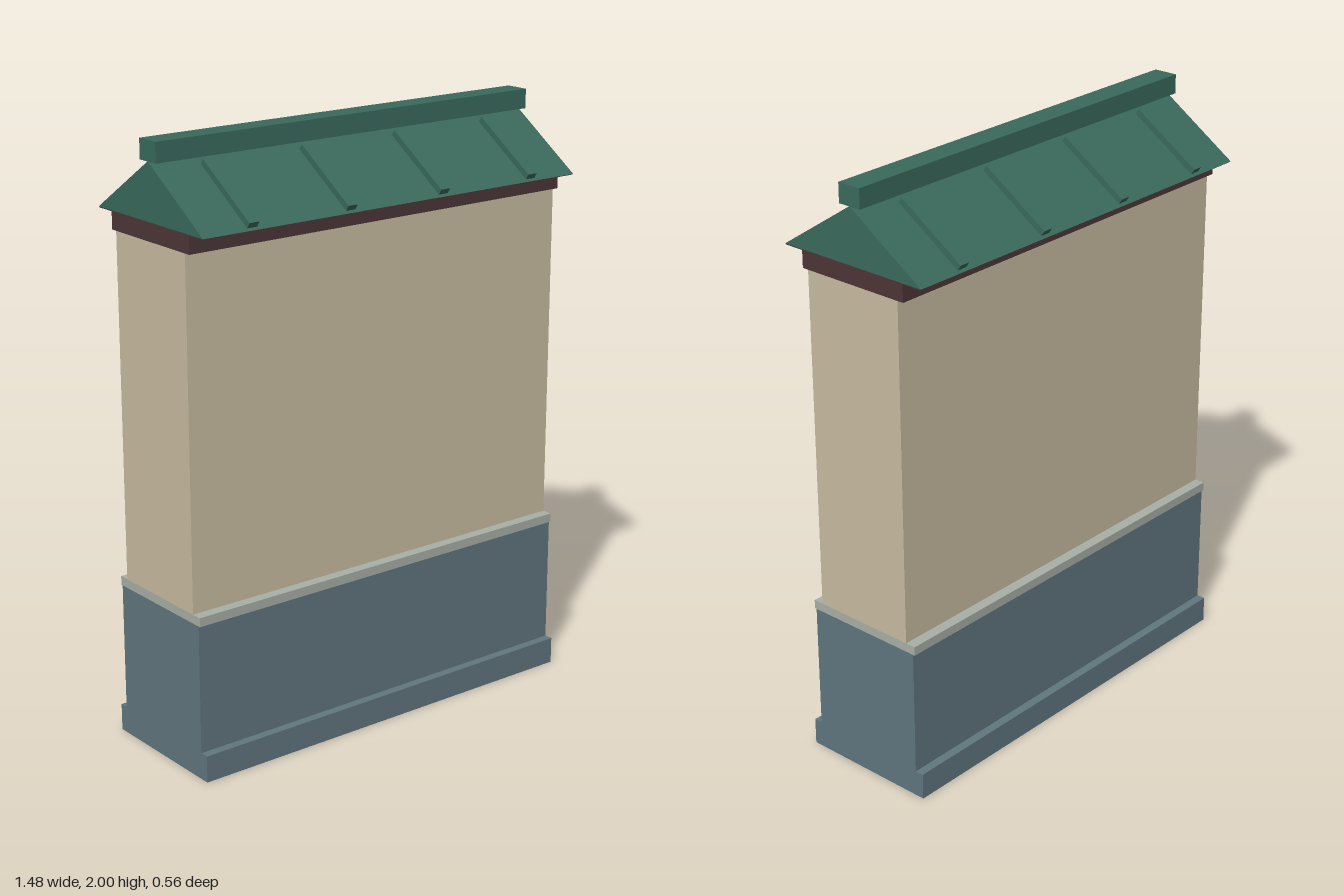
import * as THREE from 'three';

const LENGTH = 1.476;

const makeMaterial = (name, color) => {
  const m = new THREE.MeshStandardMaterial({ color });
  m.name = name;
  return m;
};

export function createModel() {
  const group = new THREE.Group();
  group.name = 'roofedWall';

  const plaster = makeMaterial('cream plaster', 0xc9bda2);
  const stone = makeMaterial('blue grey stone', 0x61767f);
  const trim = makeMaterial('pale stone trim', 0xa8b0a7);
  const wood = makeMaterial('dark red wood', 0x4d3637);
  const tile = makeMaterial('green tile', 0x3a6a5c);

  // Full-length course, given its bottom, top and half depth
  const course = (name, y0, y1, halfDepth, material) => {
    const mesh = new THREE.Mesh(new THREE.BoxGeometry(LENGTH, y1 - y0, halfDepth * 2), material);
    mesh.name = name;
    mesh.position.y = (y0 + y1) / 2;
    group.add(mesh);
  };

  course('plinth', 0, 0.09, 0.243, stone);
  course('lowerWall', 0.09, 0.52, 0.213, stone);
  course('ledge', 0.52, 0.55, 0.22, trim);
  course('upperWall', 0.55, 1.692, 0.184, plaster);
  course('eaveBeam', 1.692, 1.75, 0.206, wood);
  course('soffit', 1.749, 1.752, 0.274, wood);
  course('ridge', 1.935, 2, 0.042, tile);

  // Gabled roof prism
  const eaveZ = 0.278, eaveY = 1.752, apexY = 1.936;
  const gable = new THREE.Shape([
    new THREE.Vector2(-eaveZ, eaveY),
    new THREE.Vector2(eaveZ, eaveY),
    new THREE.Vector2(0, apexY),
  ]);
  const roofGeometry = new THREE.ExtrudeGeometry(gable, { depth: LENGTH, bevelEnabled: false });
  roofGeometry.translate(0, 0, -LENGTH / 2).rotateY(Math.PI / 2);
  const roof = new THREE.Mesh(roofGeometry, tile);
  roof.name = 'roof';
  group.add(roof);

  // Raised ribs running down both slopes
  const slope = Math.atan2(apexY - eaveY, eaveZ);
  const outerZ = 0.268, innerZ = 0.036, thickness = 0.022;
  const midZ = (outerZ + innerZ) / 2;
  const midY = apexY - midZ * Math.tan(slope);
  const ribGeometry = new THREE.BoxGeometry(0.036, thickness, (outerZ - innerZ) / Math.cos(slope));
  for (const side of [1, -1]) {
    for (const x of [-0.555, -0.185, 0.185, 0.555]) {
      const rib = new THREE.Mesh(ribGeometry, tile);
      rib.name = side > 0 ? 'frontRib' : 'backRib';
      rib.position.set(
        x,
        midY + Math.cos(slope) * thickness * 0.45,
        side * (midZ + Math.sin(slope) * thickness * 0.45),
      );
      rib.rotation.x = side * slope;
      group.add(rib);
    }
  }
  return group;
}
